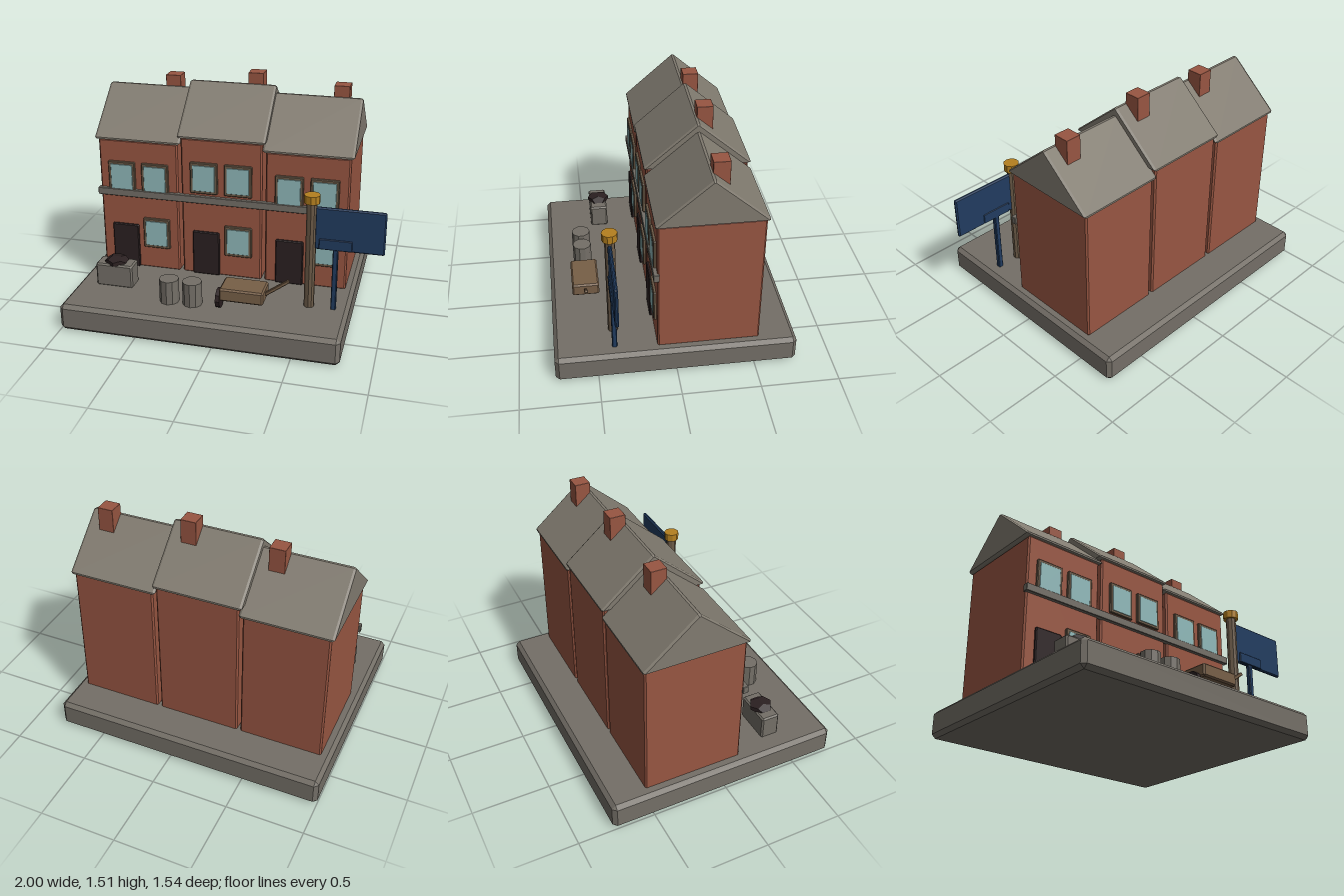
import * as THREE from 'three';
import { ConvexGeometry } from 'three/addons/geometries/ConvexGeometry.js';

const mat = (name, color) => {
  const m = new THREE.MeshStandardMaterial({ color, flatShading: true });
  m.name = name;
  return m;
};

export function createModel() {
  const stone = mat('stone', 0x746f67);
  const slate = mat('slate', 0x817b70);
  const brick = mat('brick', 0x985642);
  const glass = mat('glass', 0x90b9ba);
  const frame = mat('frame', 0x6c5b48);
  const dark = mat('dark', 0x2b2021);
  const wood = mat('wood', 0x775f47);
  const gold = mat('gold', 0xb5801f);
  const navy = mat('navy', 0x213c60);

  const root = new THREE.Group();
  root.name = 'terraceDiorama';

  const add = (parent, name, geometry, material, x = 0, y = 0, z = 0) => {
    const mesh = new THREE.Mesh(geometry, material);
    mesh.name = name;
    mesh.position.set(x, y, z);
    parent.add(mesh);
    return mesh;
  };

  // Box with chamfered edges, centred on the origin
  const chamferBox = (w, h, d, b) => {
    const points = [];
    for (const i of [-1, 1]) for (const j of [-1, 1]) for (const k of [-1, 1]) {
      const x = w / 2, y = h / 2, z = d / 2;
      points.push(
        new THREE.Vector3(i * x, j * (y - b), k * (z - b)),
        new THREE.Vector3(i * (x - b), j * y, k * (z - b)),
        new THREE.Vector3(i * (x - b), j * (y - b), k * z));
    }
    return new ConvexGeometry(points);
  };

  // Box given by its limits on each axis
  const block = (parent, name, material, [x0, x1], [y0, y1], [z0, z1], b = 0.006) =>
    add(parent, name, chamferBox(x1 - x0, y1 - y0, z1 - z0, b), material,
      (x0 + x1) / 2, (y0 + y1) / 2, (z0 + z1) / 2);

  // Gabled roof prism with its ridge along x, eaves at y = 0
  const roofGeometry = (width, depth, height) => {
    const b = 0.014, half = depth / 2;
    const shape = new THREE.Shape();
    shape.moveTo(-half, 0);
    shape.lineTo(half, 0);
    shape.lineTo(half, 0.012);
    shape.lineTo(0.008, height);
    shape.lineTo(-0.008, height);
    shape.lineTo(-half, 0.012);
    shape.closePath();
    const g = new THREE.ExtrudeGeometry(shape, {
      depth: width - 2 * b, bevelEnabled: true, bevelSegments: 1,
      bevelThickness: b, bevelSize: 0.008, bevelOffset: -0.008,
    });
    g.translate(0, 0, -width / 2 + b);
    g.rotateY(Math.PI / 2);
    return g;
  };

  // Ground slab
  block(root, 'base', stone, [-1, 0.8], [0, 0.18], [-0.77, 0.77], 0.025);

  // Window: frame with a glass pane set on it
  const addWindow = (parent, x, y) => {
    const g = new THREE.Group();
    g.name = 'window';
    g.position.set(x, y, 0.125);
    add(g, 'windowFrame', chamferBox(0.185, 0.215, 0.025, 0.005), frame);
    add(g, 'windowGlass', chamferBox(0.15, 0.178, 0.008, 0.002), glass, 0, 0, 0.011);
    parent.add(g);
  };

  // Three houses, the middle one taller
  const rises = [0, 0.05, 0];
  rises.forEach((rise, i) => {
    const house = new THREE.Group();
    house.name = 'house' + (i + 1);
    house.position.x = -0.665 + i * 0.567;
    const top = 1.09 + rise;
    block(house, 'walls', brick, [-0.272, 0.272], [0.175, top], [-0.53, 0.12], 0.01);
    add(house, 'roof', roofGeometry(0.585, 0.675, 0.297), slate, 0, top, -0.205);
    block(house, 'chimney', brick, [0.101, 0.203], [top + 0.12, top + 0.37], [-0.31, -0.208], 0.001);
    block(house, 'door', dark, [-0.197, -0.013], [0.18, 0.492], [0.11, 0.137]);
    addWindow(house, -0.115, 0.835 + rise * 0.8);
    addWindow(house, 0.115, 0.835 + rise * 0.8);
    addWindow(house, 0.115, 0.443);
    root.add(house);
  });

  // Ledge running across all the fronts
  block(root, 'ledge', stone, [-0.95, 0.755], [0.7, 0.75], [0.108, 0.145], 0.003);

  // Crate with a dark sack on it
  block(root, 'crate', stone, [-0.87, -0.62], [0.175, 0.335], [0.325, 0.447], 0.01);
  const sack = add(root, 'sack', new THREE.DodecahedronGeometry(0.08), dark, -0.745, 0.342, 0.383);
  sack.scale.y = 0.4;

  // Two bins
  for (const x of [-0.333, -0.18]) {
    add(root, 'bin', new THREE.CylinderGeometry(0.063, 0.063, 0.16, 10), stone, x, 0.258, 0.537);
  }

  // Handcart with one wheel and a sloping handle
  const cart = new THREE.Group();
  cart.name = 'handcart';
  block(cart, 'cartBody', wood, [0.018, 0.298], [0.27, 0.355], [0.45, 0.627], 0.01);
  const wheel = add(cart, 'cartWheel', new THREE.CylinderGeometry(0.065, 0.065, 0.028, 10), dark, 0, 0.248, 0.54);
  wheel.rotation.z = Math.PI / 2;
  const handle = add(cart, 'cartHandle', chamferBox(0.19, 0.022, 0.022, 0.004), wood, 0.366, 0.363, 0.54);
  handle.rotation.z = 0.64;
  root.add(cart);

  // Lamp post with a gold cap
  add(root, 'lampPost', new THREE.CylinderGeometry(0.033, 0.033, 0.72, 10), frame, 0.545, 0.535, 0.385);
  add(root, 'lampCap', new THREE.CylinderGeometry(0.05, 0.05, 0.052, 10), gold, 0.545, 0.916, 0.385);

  // Sign board on a pole
  const sign = new THREE.Group();
  sign.name = 'sign';
  block(sign, 'signBoard', navy, [0.568, 1], [0.587, 0.867], [0.375, 0.4], 0.008);
  block(sign, 'signPlate', navy, [0.597, 0.803], [0.592, 0.662], [0.371, 0.408], 0.004);
  block(sign, 'signPole', navy, [0.685, 0.718], [0.175, 0.6], [0.372, 0.404], 0.005);
  root.add(sign);

  return root;
}
